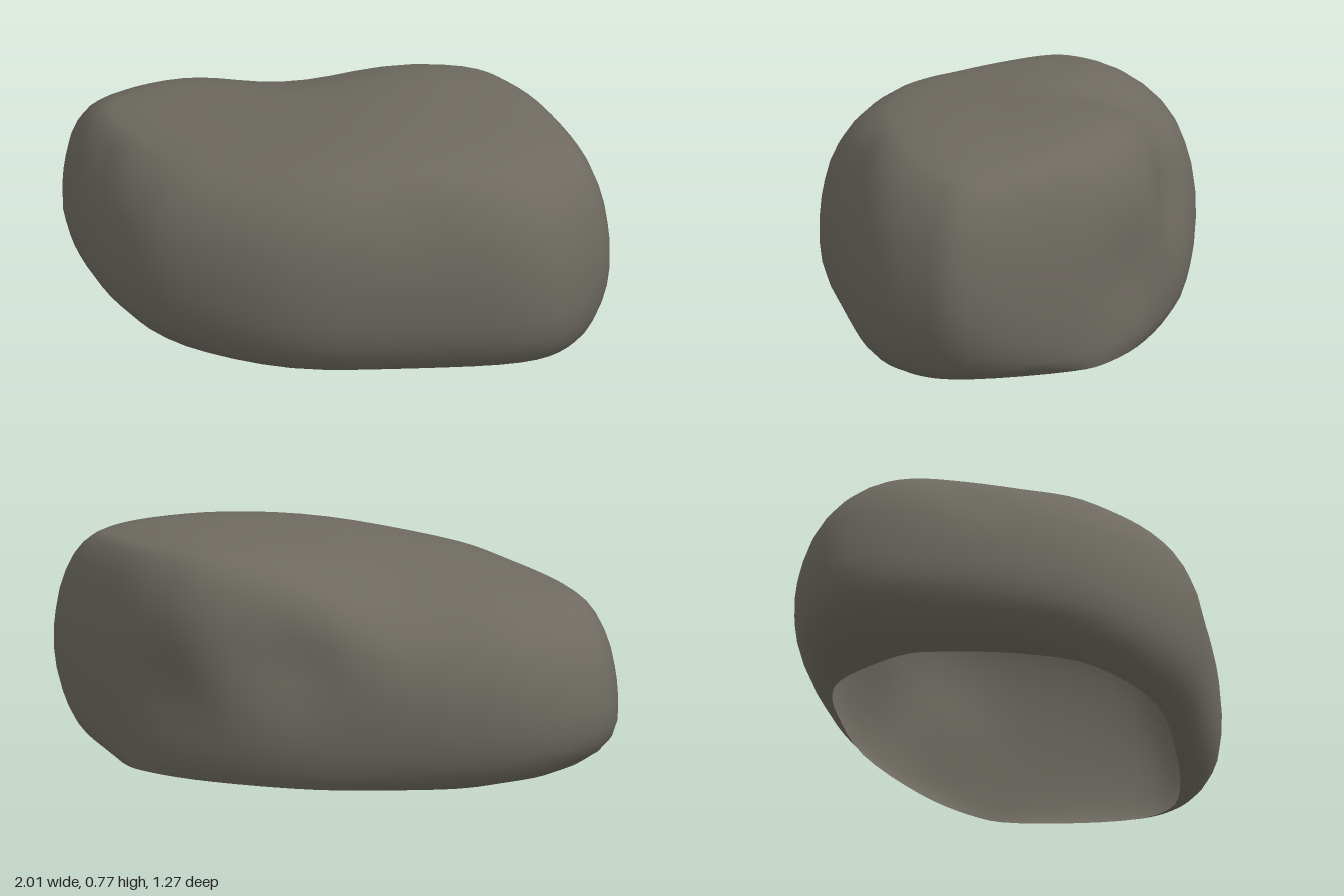
import * as THREE from 'three';

// Columns round the boulder: widest outline x,z | foot x,z | top rim x,z
const columns = [
  [-1, -0.15, -0.71, -0.15, -0.80, -0.08],
  [-0.975, -0.35, -0.63, -0.38, -0.71, -0.19],
  [-0.76, -0.525, -0.53, -0.48, -0.52, -0.25],
  [-0.45, -0.61, -0.35, -0.54, -0.30, -0.25],
  [-0.05, -0.64, -0.02, -0.59, -0.02, -0.33],
  [0.37, -0.58, 0.35, -0.54, 0.34, -0.38],
  [0.59, -0.475, 0.58, -0.45, 0.51, -0.32],
  [0.78, -0.29, 0.70, -0.33, 0.67, -0.20],
  [0.99, 0, 0.83, 0, 0.80, -0.03],
  [0.97, 0.18, 0.82, 0.17, 0.76, 0.10],
  [0.82, 0.38, 0.70, 0.28, 0.61, 0.21],
  [0.45, 0.52, 0.40, 0.40, 0.36, 0.32],
  [0, 0.635, 0, 0.50, 0, 0.37],
  [-0.44, 0.565, -0.36, 0.43, -0.35, 0.33],
  [-0.68, 0.40, -0.55, 0.25, -0.54, 0.20],
  [-0.88, 0.13, -0.68, 0, -0.72, 0.05],
];

// Rings up the wall: height share, share of the widest outline
const lowerRings = [[0, 0], [0.04, 0.43], [0.08, 0.63], [0.14, 0.81], [0.21, 0.93], [0.3, 0.99]];
const upperRings = [[0.4, 0.995], [0.5, 0.97], [0.58, 0.93], [0.68, 0.86], [0.77, 0.75],
  [0.85, 0.6], [0.91, 0.43], [0.95, 0.25], [0.975, 0.07]];
// Rings across the top: height share, scale of the rim
const topRings = [[0.988, 0.88], [0.996, 0.72], [1, 0.5], [1, 0.25], [1, 0]];

// Shallow dents: centre x,y,z, radius, depth
const dents = [
  [0.05, 0.43, -0.6, 0.22, 0.06],
  [0.5, 0.3, -0.52, 0.2, 0.035],
  [0.4, 0.6, 0.42, 0.16, 0.02],
  [-0.76, 0.5, 0.14, 0.12, 0.02],
  [0.98, 0.12, 0.05, 0.18, 0.025],
];

const SEGMENTS = 64;

function smoothLoop(offset) {
  const points = columns.map(c => new THREE.Vector3(c[offset], 0, c[offset + 1]));
  const curve = new THREE.CatmullRomCurve3(points, true, 'catmullrom', 0.5);
  return Array.from({ length: SEGMENTS }, (_, i) => curve.getPoint(i / SEGMENTS));
}

// The top slopes down towards -x, with a hollow at the back
function topHeight(x, z) {
  const cx = THREE.MathUtils.clamp(x, -0.82, 0.82);
  const hollow = 0.05 * Math.exp(-((x + 0.25) ** 2 + (z + 0.45) ** 2) / 0.07);
  return 0.735 + 0.135 * cx - (cx > 0 ? 0.14 * cx * cx : 0) - 0.045 * z - hollow;
}

function boulderGeometry() {
  const [outline, foot, rim] = [0, 2, 4].map(smoothLoop);
  const rings = [
    ...lowerRings.map(([h, w]) => [h, j => foot[j].clone().lerp(outline[j], w)]),
    ...upperRings.map(([h, w]) => [h, j => rim[j].clone().lerp(outline[j], w)]),
    ...topRings.map(([h, s]) => [h, j => rim[j].clone().multiplyScalar(s)]),
  ];
  const positions = [];
  const indices = [];
  rings.forEach(([h, at], i) => {
    for (let j = 0; j < SEGMENTS; j++) {
      const p = at(j);
      p.y = h * topHeight(p.x, p.z);
      for (const [x, y, z, radius, depth] of dents) {
        const d = p.distanceTo(new THREE.Vector3(x, y, z)) / radius;
        const push = depth * Math.exp(-d * d * 1.5) / Math.hypot(x, z);
        p.x -= x * push;
        p.z -= z * push;
      }
      positions.push(p.x, p.y, p.z);
      if (i === rings.length - 1) continue;
      const k = (j + 1) % SEGMENTS;
      const a = i * SEGMENTS + j, b = i * SEGMENTS + k;
      const c = a + SEGMENTS, d = b + SEGMENTS;
      indices.push(a, c, d, a, d, b);
    }
  });
  const geometry = new THREE.BufferGeometry();
  geometry.setAttribute('position', new THREE.Float32BufferAttribute(positions, 3));
  geometry.setIndex(indices);
  geometry.computeVertexNormals();
  // Every vertex of the last ring meets at the crown
  const normals = geometry.attributes.normal;
  for (let j = 0; j < SEGMENTS; j++) {
    normals.setXYZ((rings.length - 1) * SEGMENTS + j, -0.13, 0.99, 0.04);
  }
  return geometry;
}

export function createModel() {
  const group = new THREE.Group();
  group.name = 'rock';
  const stone = new THREE.MeshStandardMaterial({ color: 0x6e6a61, side: THREE.DoubleSide });
  stone.name = 'greyBrownStone';

  // Hollow boulder shell, open underneath
  const boulder = new THREE.Mesh(boulderGeometry(), stone);
  boulder.name = 'boulder';
  group.add(boulder);
  return group;
}
